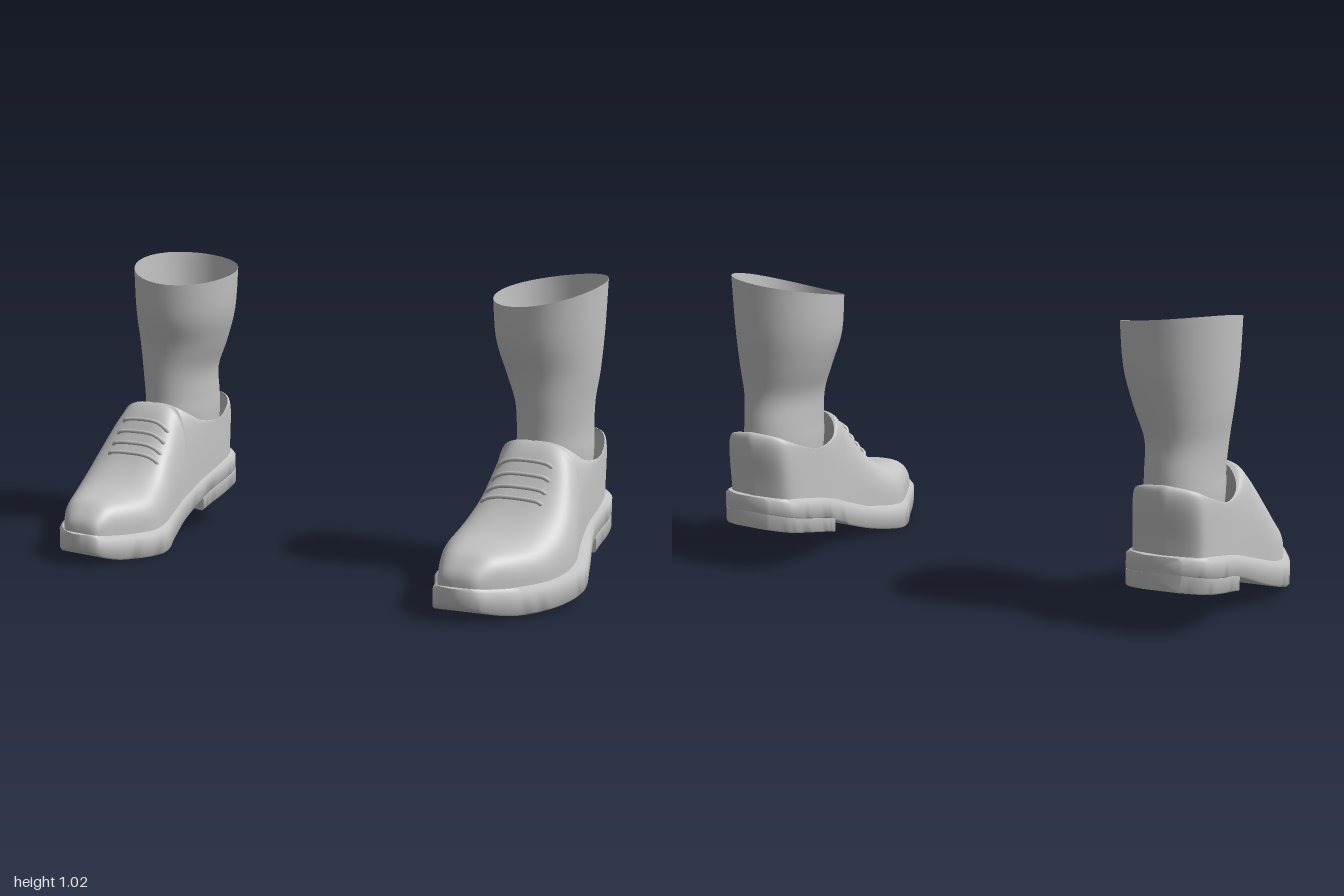
import * as THREE from 'three';
import { mergeGeometries, mergeVertices, toCreasedNormals } from 'three/addons/utils/BufferGeometryUtils.js';

const grey = new THREE.MeshStandardMaterial({ color: 0xc4c4c4, side: THREE.DoubleSide });
grey.name = 'plain grey';

// Smooth values between table rows; t counts rows.
function sample(table, t) {
  const last = table.length - 1;
  const i = Math.min(Math.floor(t), last - 1), f = t - i;
  const row = k => table[Math.max(0, Math.min(last, k))];
  return table[i].map((_, c) => {
    const [a, b, d, e] = [row(i - 1)[c], row(i)[c], row(i + 1)[c], row(i + 2)[c]];
    return b + 0.5 * f * (d - a + f * (2 * a - 5 * b + 4 * d - e + f * (3 * (b - d) + e - a)));
  });
}

// Skin over rows of points with equal length.
function skin(rows) {
  const n = rows[0].length, index = [];
  for (let i = 0; i < rows.length - 1; i++)
    for (let j = 0; j < n - 1; j++) {
      const a = i * n + j, c = a + n;
      index.push(a, c, a + 1, a + 1, c, c + 1);
    }
  const g = new THREE.BufferGeometry();
  g.setAttribute('position', new THREE.Float32BufferAttribute(rows.flat(2), 3));
  g.setIndex(index);
  return g;
}

function smooth(g) {
  g = mergeVertices(g, 1e-4);
  g.computeVertexNormals();
  return g;
}

const steps = (table, sub) =>
  Array.from({ length: (table.length - 1) * sub + 1 }, (_, k) => sample(table, k / sub));

// z, inner x, outer x, top y, bottom y, setback of the outer edge
const SOLE = [
  [.478, .70, .75, .112, .06, 0], [.46, .65, .79, .112, .045, 0], [.42, .627, .83, .105, .025, 0],
  [.34, .595, .895, .098, .009, 0], [.2, .538, .965, .098, .009, 0], [.07, .58, 1, .118, .03, 0],
  [-.05, .61, .972, .155, .07, 0], [-.2, .612, .93, .21, .135, 0], [-.35, .61, .925, .247, .175, 0],
  [-.43, .63, .90, .26, .195, 0], [-.48, .70, .83, .267, .21, 0],
];
const HEEL = [
  [-.17, .613, .932, .128, .078, .04], [-.21, .612, .93, .142, .09, .03],
  [-.35, .61, .925, .177, .125, 0], [-.43, .63, .90, .197, .142, 0], [-.48, .70, .83, .212, .155, 0],
];

// z, inner x, outer x, base y, top or rim y, rim centre x, rim half width
const UPPER = [
  [.458, .715, .735, .10, .108, .725, 0], [.45, .667, .78, .10, .145, .725, 0],
  [.425, .645, .81, .098, .177, .725, 0], [.38, .625, .845, .095, .207, .73, 0],
  [.31, .595, .89, .09, .219, .735, 0], [.22, .565, .935, .09, .235, .745, 0],
  [.13, .575, .96, .10, .285, .75, 0], [.05, .597, .962, .115, .365, .757, 0],
  [-.02, .61, .945, .14, .455, .757, 0], [-.06, .613, .935, .155, .49, .757, 0],
  [-.075, .613, .932, .16, .482, .757, .06], [-.11, .612, .926, .175, .455, .757, .108],
  [-.17, .61, .918, .20, .42, .758, .138], [-.28, .612, .912, .23, .41, .76, .147],
  [-.38, .63, .895, .25, .445, .762, .127], [-.43, .665, .865, .255, .475, .765, .087],
  [-.455, .765, .765, .26, .49, .765, 0],
];

// y, centre x, half width, centre z, half depth
const SOCK = [
  [.26, .76, .11, -.262, .15], [.42, .758, .123, -.262, .174], [.5, .757, .123, -.261, .172],
  [.6, .757, .13, -.252, .166], [.7, .745, .157, -.255, .175], [.82, .733, .181, -.253, .194],
  [.97, .73, .191, -.255, .2],
];

// Solid slab with bevelled edges and closed ends, leaning slightly to its inner side.
function slab(table, topBevel, lowBevel) {
  const rows = steps(table, 5).map(([z, a, b, top, low, setback]) => [
    [b - lowBevel, low, z], [b, low + lowBevel, z], [b, top - topBevel, z], [b - topBevel, top, z],
    [a + topBevel, top, z], [a, top - topBevel, z], [a, low + lowBevel, z], [a + lowBevel, low, z],
    [b - lowBevel, low, z],
  ].map(([x, y, pz]) => {
    const back = setback * (x - a) / (b - a);
    return [x, y + .03 * (x - .77) + .35 * back, pz - back];
  }));
  const cap = row => {
    const centre = [0, 1, 2].map(c => (row[1][c] + row[2][c] + row[5][c] + row[6][c]) / 4);
    return row.map(() => centre);
  };
  return toCreasedNormals(skin([cap(rows[0]), ...rows, cap(rows[rows.length - 1])]), 0.9);
}

// Point on the leather: v = 0 outer base, PI / 2 top or rim, PI inner base.
function leather([z, inner, outer, base, top, centre, half], v, side) {
  const rim = centre + side * Math.max(0, half);
  const edge = side > 0 ? outer : inner;
  const full = value => Math.pow(Math.abs(value), .65);
  const bulge = .018 * Math.max(0, Math.min(1, (-z - .35) / .1)) * Math.sin(2 * Math.min(v, Math.PI - v));
  return [rim + (edge - rim) * full(Math.cos(v)), base + (top - base) * full(Math.sin(v)), z - bulge];
}

function upperGeometry() {
  const half = side => skin(steps(UPPER, 5).map(row =>
    Array.from({ length: 19 }, (_, k) => {
      const v = Math.PI / 2 * k / 18;
      return leather(row, side > 0 ? v : Math.PI / 2 + v, side);
    })));
  return smooth(mergeGeometries([half(1), half(-1)]));
}

function sockGeometry() {
  const rows = steps(SOCK, 4).map(([y, cx, rx, cz, rz]) =>
    Array.from({ length: 33 }, (_, k) => {
      const a = k / 32 * Math.PI * 2, c = Math.cos(a), s = Math.sin(a);
      // The top edge slopes up to the back and the outer side.
      const tilt = Math.max(0, (y - .7) / .27);
      return [cx + rx * c, y + tilt * (.024 * c - .035 * s + .01 * (1 - s * s)), cz + rz * s];
    }));
  return smooth(skin(rows));
}

// Lace across the instep, with its ends dipping into the leather.
function laceGeometry(t) {
  const row = sample(UPPER, t);
  const points = Array.from({ length: 13 }, (_, k) => {
    const v = Math.PI * (.388 + .298 * k / 12);
    const p = leather(row, v, v < Math.PI / 2 ? 1 : -1);
    const lift = k % 12 ? .005 : -.008;
    return new THREE.Vector3(p[0], p[1] + lift, p[2] + lift);
  });
  return new THREE.TubeGeometry(new THREE.CatmullRomCurve3(points), 24, .007, 8);
}

function makeShoe(name) {
  const shoe = new THREE.Group();
  shoe.name = name;
  const add = (part, geometry) => {
    const mesh = new THREE.Mesh(geometry, grey);
    mesh.name = part;
    shoe.add(mesh);
  };
  add('sole', slab(SOLE, .012, .006));
  add('heel', slab(HEEL, 0, .005));
  add('upper', upperGeometry());
  add('sock', sockGeometry());
  [6.5, 6.87, 7.28, 7.7].forEach((t, i) => add('lace' + (i + 1), laceGeometry(t)));
  return shoe;
}

export function createModel() {
  const model = new THREE.Group();
  model.name = 'shoesAndSocks';
  const right = makeShoe('rightShoe');
  right.scale.x = -1;
  model.add(makeShoe('leftShoe'), right);
  return model;
}
